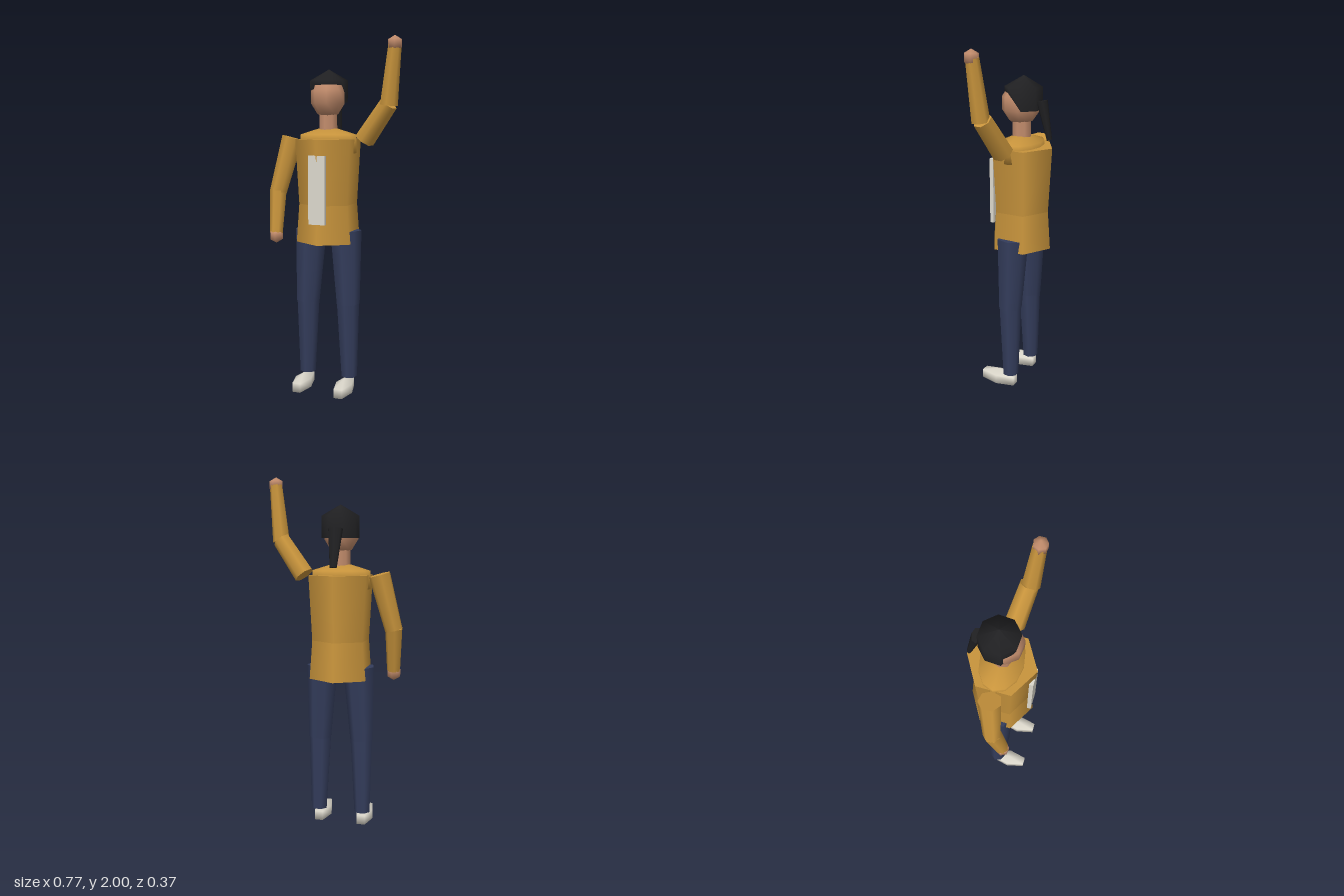
import * as THREE from 'three';

const MID = -0.045; // x of the body's centre line

export function createModel() {
  const mat = (name, color) => {
    const m = new THREE.MeshStandardMaterial({ color, side: THREE.DoubleSide });
    m.name = name;
    return m;
  };
  const mustard = mat('mustard cloth', 0xc8943c);
  const navy = mat('navy cloth', 0x343d5c);
  const skin = mat('skin', 0xc28c6c);
  const black = mat('black hair', 0x202022);
  const white = mat('off white', 0xdcd8cc);

  const model = new THREE.Group();
  model.name = 'wavingPerson';

  const add = (name, geometry, material, x = 0, y = 0, z = 0) => {
    const mesh = new THREE.Mesh(geometry, material);
    mesh.name = name;
    mesh.position.set(x, y, z);
    model.add(mesh);
    return mesh;
  };

  // Tapered limb running from point a (radius ra) to point b (radius rb)
  const limb = (name, a, b, ra, rb, material, sides = 7) => {
    const from = new THREE.Vector3(...a), to = new THREE.Vector3(...b);
    const axis = to.clone().sub(from);
    const centre = from.clone().add(to).multiplyScalar(0.5);
    const mesh = add(name, new THREE.CylinderGeometry(rb, ra, axis.length(), sides), material, ...centre.toArray());
    mesh.quaternion.setFromUnitVectors(new THREE.Vector3(0, 1, 0), axis.normalize());
    return mesh;
  };

  // Low-poly ellipsoid
  const blob = (name, material, position, radii, sides, rows = 3) =>
    add(name, new THREE.SphereGeometry(1, sides, rows).scale(...radii), material, ...position);

  // Jumper
  add('chest', new THREE.CylinderGeometry(0.185, 0.165, 0.36, 6), mustard, MID, 1.28, 0);
  add('hips', new THREE.CylinderGeometry(0.165, 0.181, 0.215, 6), mustard, MID, 0.9925, 0);
  blob('shoulders', mustard, [MID, 1.435, 0], [0.192, 0.1, 0.13], 12);
  add('frontPanel', new THREE.BoxGeometry(0.096, 0.375, 0.022), white, MID, 1.1875, 0.167);

  // Neck and head, turned a little to the side
  add('neck', new THREE.CylinderGeometry(0.052, 0.054, 0.13, 8), skin, MID, 1.565, 0);
  blob('head', skin, [MID, 1.69, 0.005], [0.098, 0.115, 0.11], 8, 5).rotation.y = 0.3;

  // Hair cap, its lower ring raised over the face
  const cap = new THREE.SphereGeometry(0.12, 8, 2, 0, Math.PI * 2, 0, Math.PI * 2 / 3);
  const p = cap.attributes.position;
  for (let i = 0; i < p.count; i++) {
    if (p.getY(i) < 0 && p.getZ(i) > 0.02) p.setY(i, 0.033);
  }
  cap.computeVertexNormals();
  add('hair', cap, black, MID, 1.72, -0.012).rotation.y = 0.33;
  const tail = limb('ponytail', [MID, 1.71, -0.122], [MID, 1.505, -0.168], 0.042, 0.02, black, 7);
  tail.scale.z = 0.65;

  // Lowered right arm
  limb('rightUpperArm', [-0.262, 1.465, 0], [-0.34, 1.16, 0.03], 0.061, 0.05, mustard);
  limb('rightForearm', [-0.34, 1.17, 0.03], [-0.333, 0.925, 0.08], 0.049, 0.038, mustard);
  blob('rightHand', skin, [-0.333, 0.911, 0.083], [0.043, 0.043, 0.043], 7);

  // Raised left arm
  limb('leftUpperArm', [0.167, 1.458, 0], [0.312, 1.652, 0.035], 0.058, 0.051, mustard);
  limb('leftForearm', [0.315, 1.643, 0.042], [0.351, 1.955, 0.063], 0.049, 0.036, mustard);
  blob('leftHand', skin, [0.352, 1.957, 0.066], [0.043, 0.043, 0.043], 7);

  // Legs and shoes
  for (const [side, s] of [['right', -1], ['left', 1]]) {
    const at = (dx, y, z) => [MID + s * dx, y, z];
    limb(side + 'Thigh', at(0.123, 0.53, 0.01), at(0.105, 0.95, 0.002), 0.067, 0.09, navy);
    limb(side + 'Shin', at(0.129, 0.1, 0.004), at(0.122, 0.535, 0.01), 0.046, 0.065, navy);
    blob(side + 'Shoe', white, at(0.126, 0.055, 0.08), [0.055, 0.052, 0.14], 6);
  }

  return model;
}
